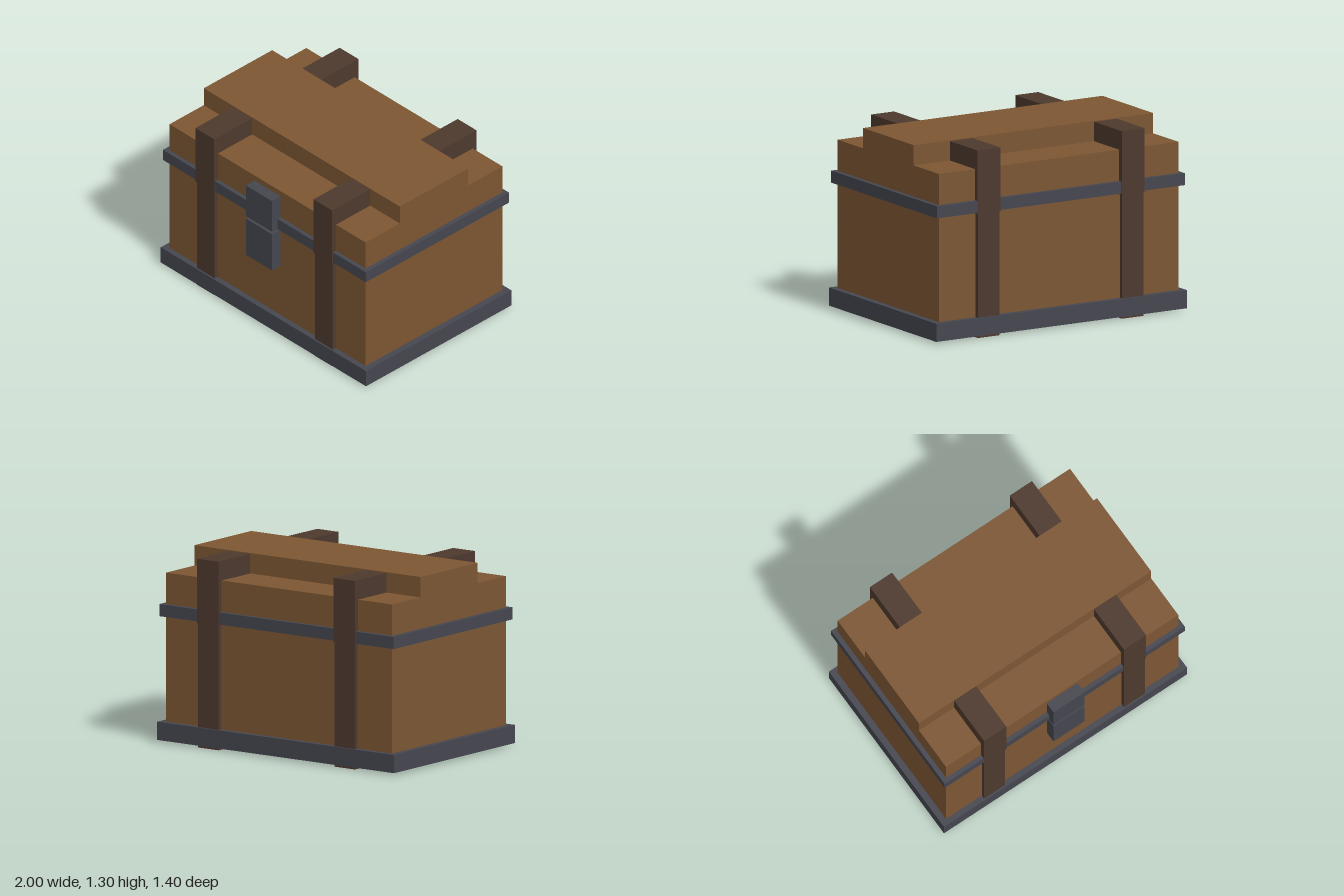
import * as THREE from 'three';

export function createModel() {
  const chest = new THREE.Group();
  chest.name = 'chest';

  const material = (name, color) => {
    const m = new THREE.MeshStandardMaterial({ color });
    m.name = name;
    return m;
  };
  const wood = material('wood', 0x7c5633);
  const darkWood = material('dark wood', 0x4d392e);
  const iron = material('iron', 0x45464f);

  // Box given by its extents along x, y and z
  function block(name, mat, [x0, x1], [y0, y1], [z0, z1], parent) {
    const mesh = new THREE.Mesh(new THREE.BoxGeometry(x1 - x0, y1 - y0, z1 - z0), mat);
    mesh.position.set((x0 + x1) / 2, (y0 + y1) / 2, (z0 + z1) / 2);
    mesh.name = name;
    parent.add(mesh);
  }

  const body = new THREE.Group();
  body.name = 'body';
  const lid = new THREE.Group();
  lid.name = 'lid';
  chest.add(body, lid);

  // Lower box with its iron base
  block('bodyBox', wood, [-0.955, 0.955], [0.03, 0.88], [-0.66, 0.62], body);
  block('base', iron, [-1, 1], [0.015, 0.14], [-0.7, 0.66], body);

  // Stepped lid with its iron rim
  block('lidLower', wood, [-0.955, 0.955], [0.88, 1.163], [-0.66, 0.62], lid);
  block('lidUpper', wood, [-0.955, 0.955], [1.163, 1.303], [-0.34, 0.3], lid);
  block('rim', iron, [-0.988, 0.988], [0.865, 0.948], [-0.69, 0.65], lid);

  // Straps wrapping the body and the lid on both sides
  for (const [side, x] of [['right', -0.575], ['left', 0.575]]) {
    block(side + 'BodyStrap', darkWood, [x - 0.086, x + 0.086], [0, 0.864], [-0.688, 0.648], body);
    block(side + 'LidStrap', darkWood, [x - 0.091, x + 0.091], [0.853, 1.297], [-0.694, 0.655], lid);
  }

  // Latch plates on the front
  block('lowerLatch', iron, [-0.127, 0.127], [0.545, 0.845], [0.6, 0.7], body);
  block('upperLatch', iron, [-0.127, 0.127], [0.866, 1.12], [0.6, 0.7], lid);

  return chest;
}
